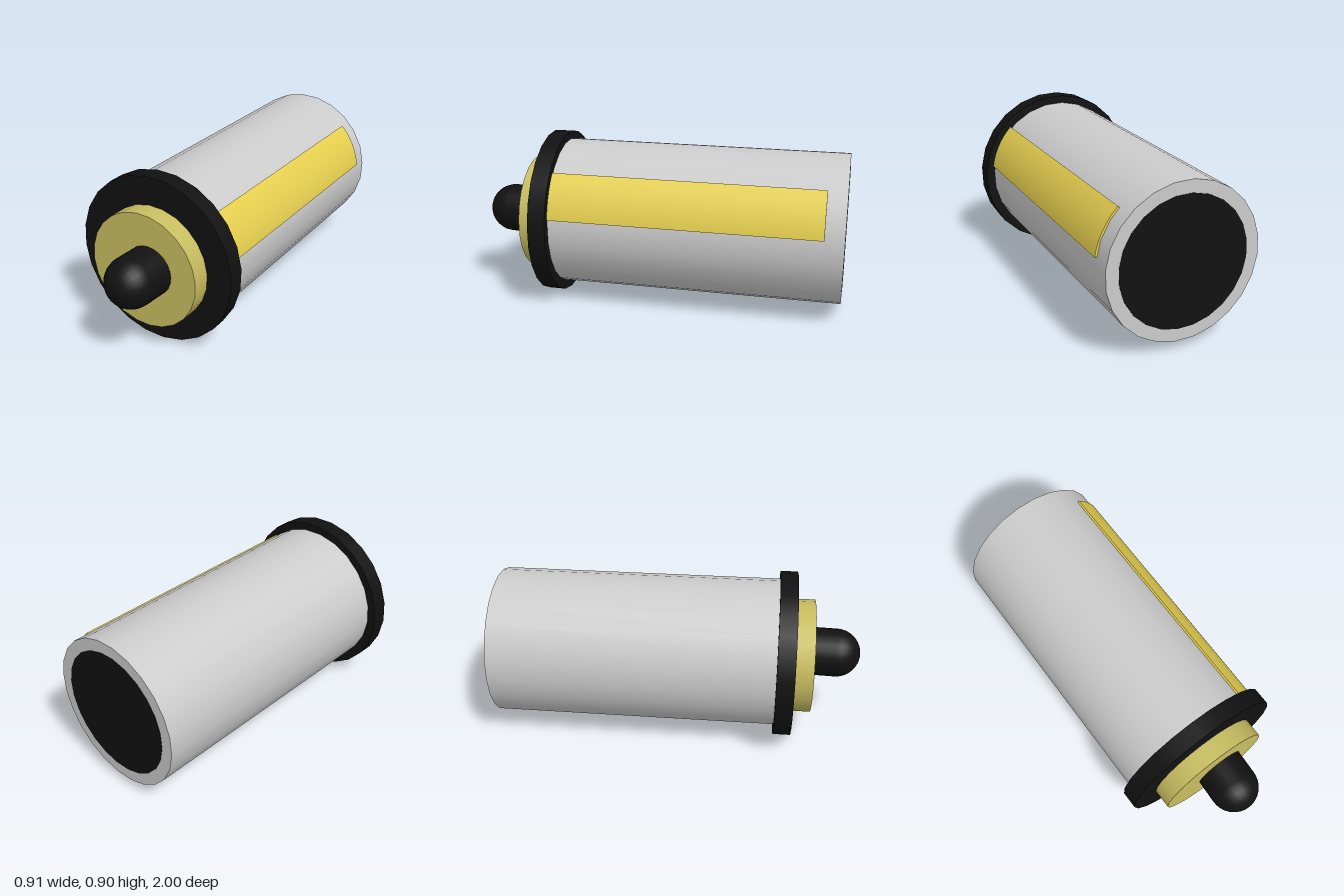
import * as THREE from 'three';
import { toCreasedNormals } from 'three/addons/utils/BufferGeometryUtils.js';

export function createModel() {
  const model = new THREE.Group();
  model.name = 'canister';

  const mat = (color) => new THREE.MeshStandardMaterial({ color });
  const grey = mat(0xcccccc);
  const black = mat(0x111111);
  const brass = mat(0xc8bd60);
  const yellow = mat(0xe6d050);

  // the whole canister lies along z, turned very slightly off axis
  const body = new THREE.Group();
  body.name = 'body';
  body.position.set(0.014, 0.455, 0);
  body.rotation.set(-0.003, -0.034, 0);
  model.add(body);

  const add = (name, geometry, material, x = 0, y = 0, z = 0) => {
    const mesh = new THREE.Mesh(geometry, material);
    mesh.name = name;
    mesh.position.set(x, y, z);
    body.add(mesh);
    return mesh;
  };

  // 24-sided drum from z0 to z1
  const drum = (name, r, z0, z1, material, x = 0, y = 0) => {
    const g = new THREE.CylinderGeometry(r, r, z1 - z0, 24);
    g.rotateX(Math.PI / 2).rotateZ(THREE.MathUtils.degToRad(5));
    return add(name, g, material, x, y, (z0 + z1) / 2);
  };

  drum('barrel', 0.402, -0.985, 0.56, grey);
  drum('rearOpening', 0.337, -0.987, -0.9, black);
  drum('frontFlange', 0.45, 0.542, 0.636, black, 0, -0.006);
  drum('frontDisc', 0.31, 0.6, 0.738, brass, 0.003, -0.017);

  // round-nosed pin, leaning a little more than the body
  const pinGeometry = new THREE.CapsuleGeometry(0.1325, 0.2, 8, 24);
  pinGeometry.rotateX(Math.PI / 2);
  const pin = add('pin', pinGeometry, black, 0.037, -0.005, 0.7675);
  pin.rotation.y = -0.05;

  // curved strip along the upper left of the barrel
  const a0 = THREE.MathUtils.degToRad(8.5);
  const a1 = THREE.MathUtils.degToRad(44.5);
  const sector = new THREE.Shape();
  sector.absarc(0, 0, 0.411, a0, a1, false);
  sector.absarc(0, 0, 0.385, a1, a0, true);
  sector.closePath();
  const stripGeometry = toCreasedNormals(
    new THREE.ExtrudeGeometry(sector, { depth: 1.43, bevelEnabled: false, curveSegments: 8 }), 0.6);
  add('sideStrip', stripGeometry, yellow, 0, 0, -0.885);

  return model;
}
